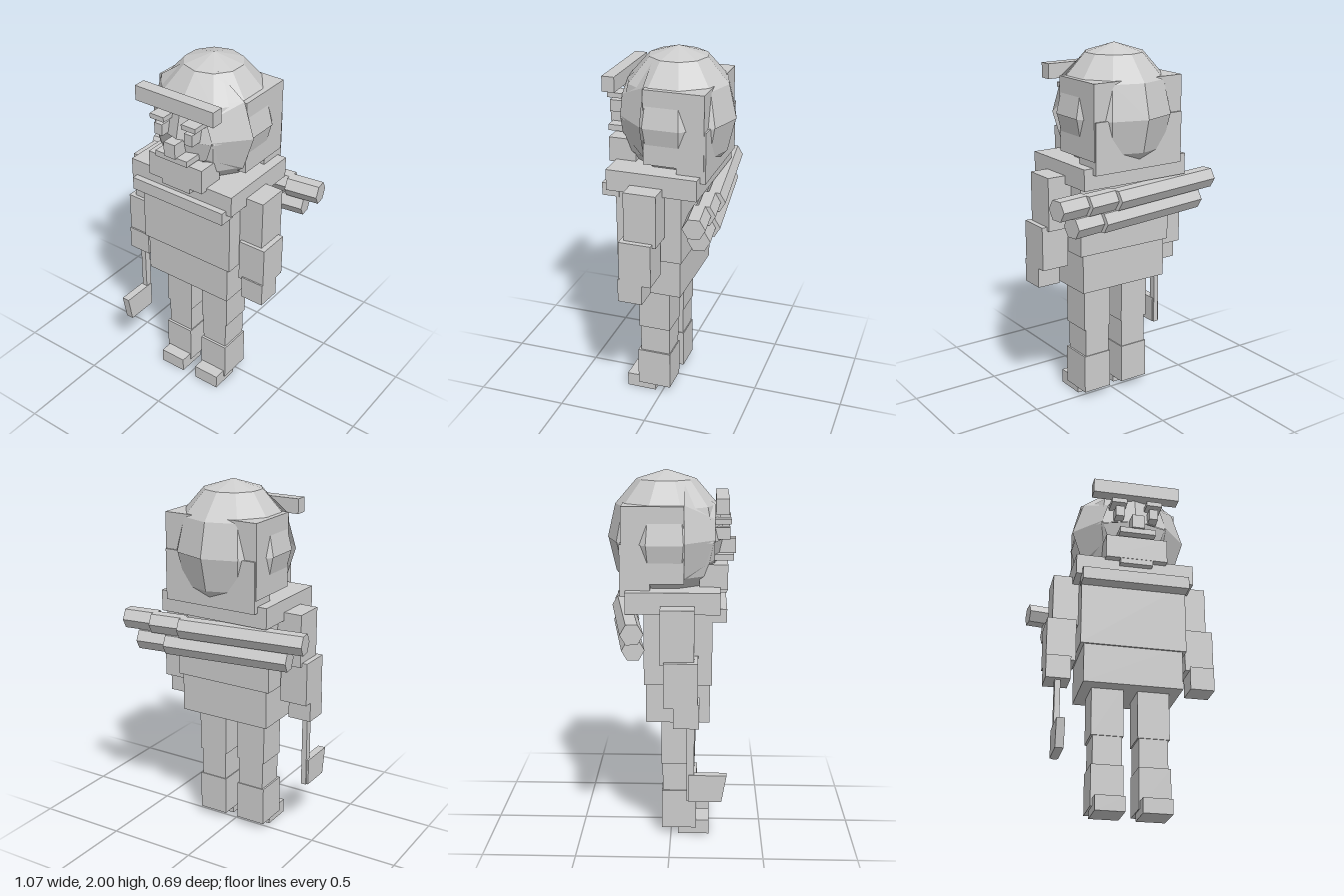
import * as THREE from 'three';

const clay = new THREE.MeshStandardMaterial({ color: 0xcccccc });
clay.name = 'light grey';
clay.flatShading = true;
clay.side = THREE.DoubleSide;

export function createModel() {
  const model = new THREE.Group();
  model.name = 'woodcutter';

  const add = (name, geometry) => {
    const mesh = new THREE.Mesh(geometry, clay);
    mesh.name = name;
    model.add(mesh);
    return mesh;
  };
  // Box given by its limits on each axis
  const box = (name, x0, x1, y0, y1, z0, z1) => {
    const mesh = add(name, new THREE.BoxGeometry(x1 - x0, y1 - y0, z1 - z0));
    mesh.position.set((x0 + x1) / 2, (y0 + y1) / 2, (z0 + z1) / 2);
    return mesh;
  };
  // The same box on both sides
  const pair = (name, x0, x1, ...rest) => {
    box('left' + name, x0, x1, ...rest);
    box('right' + name, -x1, -x0, ...rest);
  };

  // Legs and feet
  pair('Foot', 0.045, 0.2, 0, 0.08, 0.04, 0.21);
  pair('Shin', 0.04, 0.21, 0.04, 0.26, -0.05, 0.14);
  pair('Knee', 0.045, 0.2, 0.26, 0.42, -0.045, 0.125);
  pair('Thigh', 0.038, 0.21, 0.42, 0.7, -0.05, 0.13);

  // Body
  box('coatSkirt', -0.268, 0.268, 0.68, 0.93, -0.13, 0.21);
  box('torso', -0.288, 0.288, 0.895, 1.3, -0.14, 0.22);
  box('collarBand', -0.293, 0.293, 1.24, 1.31, 0.2, 0.295);
  box('shoulderCape', -0.325, 0.325, 1.285, 1.4, -0.235, 0.26);

  // Arms
  pair('UpperArm', 0.28, 0.428, 1.04, 1.33, -0.05, 0.127);
  pair('Forearm', 0.3, 0.458, 0.82, 1.06, -0.03, 0.147);
  pair('Hand', 0.325, 0.458, 0.71, 0.84, 0.02, 0.155);

  // Axe in the right hand
  box('axeHandle', -0.405, -0.375, 0.285, 0.73, 0.09, 0.13);
  const blade = new THREE.Shape([
    new THREE.Vector2(-0.1, 0.435), new THREE.Vector2(-0.302, 0.435),
    new THREE.Vector2(-0.275, 0.285), new THREE.Vector2(-0.1, 0.285),
  ]);
  const axeHead = add('axeHead', new THREE.ExtrudeGeometry(blade, { depth: 0.044, bevelEnabled: false }));
  axeHead.rotation.y = Math.PI / 2;
  axeHead.position.x = -0.415;

  // Slanted logs across the back, each built of overlapping lengths
  const log = (name, x0, x1, y) => {
    const tilt = 0.139, length = (x1 - x0) / Math.cos(tilt);
    const mesh = add(name, new THREE.CylinderGeometry(0.06, 0.06, length, 6));
    mesh.rotation.set(0, tilt, Math.PI / 2);
    mesh.position.set((x0 + x1) / 2, y, -0.283 + Math.tan(tilt) * (x1 - x0) / 2);
  };
  [[-0.526, 0.17], [0.16, 0.35], [0.34, 0.523]].forEach(([a, b]) => log('upperLog', a, b, 1.228));
  [[-0.436, 0.26], [0.25, 0.435]].forEach(([a, b]) => log('lowerLog', a, b, 1.123));

  // Head and cap share one faceted ball; the lower half is slightly smaller
  const ball = (name, r, start, span) => {
    const mesh = add(name, new THREE.SphereGeometry(r, 10, 3, Math.PI / 2, Math.PI * 2, start, span));
    mesh.scale.y = 1.15;
    mesh.position.set(0, 1.637, -0.03);
  };
  ball('capDome', 0.316, 0, Math.PI / 2);
  ball('lowerHead', 0.312, Math.PI / 2, Math.PI / 2);

  // Rim framing the face
  const rim = add('hoodRim', new THREE.CylinderGeometry(0.18, 0.322, 0.16, 10, 1, true));
  rim.geometry.rotateY(Math.PI / 2);
  rim.geometry.rotateX(Math.PI / 2);
  rim.position.set(0, 1.65, 0.15);

  // Hood behind the head and its neck flap
  box('hood', -0.276, 0.276, 1.435, 1.835, -0.255, 0.07);
  box('neckFlap', -0.272, 0.272, 1.365, 1.64, -0.265, -0.107);

  // Face
  box('capBrim', -0.243, 0.243, 1.79, 1.872, 0.234, 0.302);
  pair('Brow', 0.055, 0.142, 1.728, 1.755, 0.2, 0.315);
  pair('Eye', 0.07, 0.119, 1.645, 1.708, 0.2, 0.31);
  box('nose', -0.035, 0.035, 1.56, 1.64, 0.24, 0.342);
  box('moustache', -0.1, 0.1, 1.53, 1.563, 0.22, 0.33);
  box('beard', -0.17, 0.17, 1.385, 1.52, 0.15, 0.3);
  box('beardTip', -0.09, 0.09, 1.355, 1.39, 0.2, 0.298);

  return model;
}
